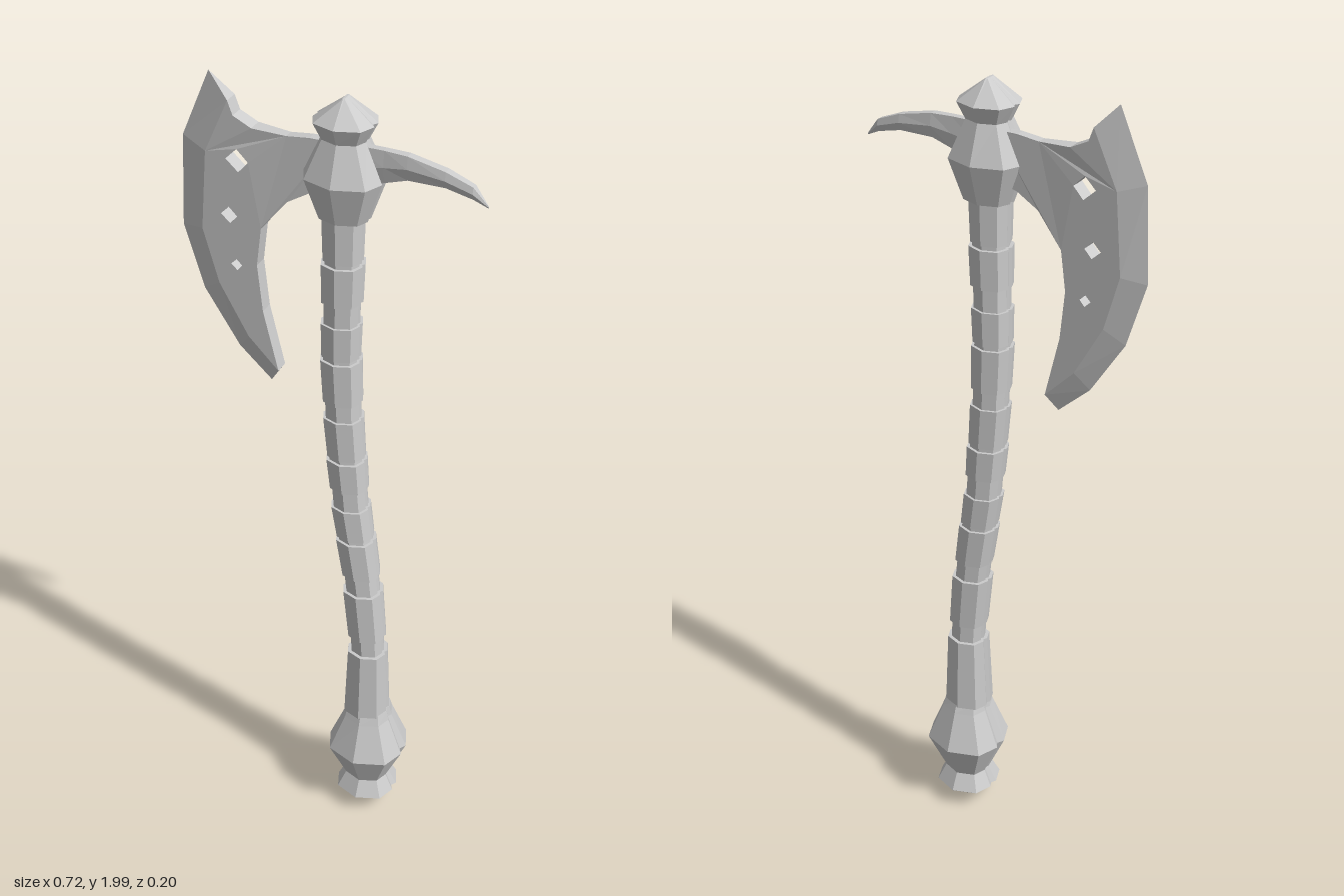
import * as THREE from 'three';

const material = new THREE.MeshStandardMaterial({ color: 0xcccccc, flatShading: true });

// Skin a list of equal-length point rings and close both ends.
function loft(name, rings) {
  const n = rings[0].length, index = [];
  for (let r = 0; r < rings.length - 1; r++) {
    for (let j = 0; j < n; j++) {
      const a = r * n + j, b = r * n + (j + 1) % n;
      index.push(a, a + n, b, b, a + n, b + n);
    }
  }
  const last = (rings.length - 1) * n;
  for (let j = 1; j < n - 1; j++) {
    index.push(0, j, j + 1, last, last + j + 1, last + j);
  }
  const indexed = new THREE.BufferGeometry();
  indexed.setAttribute('position', new THREE.Float32BufferAttribute(rings.flat(2), 3));
  indexed.setIndex(index);
  const geometry = indexed.toNonIndexed();
  geometry.computeVertexNormals();
  const mesh = new THREE.Mesh(geometry, material);
  mesh.name = name;
  return mesh;
}

// Faceted cross-section with a shallow groove down each side.
const SECTION = [
  [0.9, 0], [1, 0.17], [0.78, 0.72], [0, 1], [-0.78, 0.72], [-1, 0.17],
  [-0.9, 0], [-1, -0.17], [-0.78, -0.72], [0, -1], [0.78, -0.72], [1, -0.17],
];
const ring = (x, y, rx, rz, z = 0) => SECTION.map(([sx, sz]) => [x + sx * rx, y, z + sz * rz]);

// Centre line of the curved shaft: [y, x].
const SPINE = [[0, 0.115], [0.33, 0.108], [0.55, 0.108], [0.75, 0.09], [0.97, 0.058],
  [1.2, 0.038], [1.4, 0.03], [1.6, 0.034], [2, 0.035]];
function spineX(y) {
  const k = Math.max(1, SPINE.findIndex(p => p[0] >= y));
  const [y0, x0] = SPINE[k - 1], [y1, x1] = SPINE[k];
  return THREE.MathUtils.lerp(x0, x1, (y - y0) / (y1 - y0));
}

function createShaft() {
  // Raised bands: [bottom, top, bottom radius, top radius]; the core shows between.
  const bands = [
    [0.33, 0.53, 0.058, 0.05], [0.58, 0.72, 0.047, 0.049],
    [0.77, 0.875, 0.046, 0.048], [0.885, 0.97, 0.045, 0.047],
    [1.025, 1.105, 0.046, 0.048], [1.115, 1.22, 0.045, 0.047],
    [1.265, 1.375, 0.046, 0.048], [1.385, 1.47, 0.045, 0.047],
    [1.525, 1.62, 0.047, 0.049], [1.63, 1.74, 0.045, 0.048],
  ];
  const rings = [];
  for (const [y0, y1, r0, r1] of bands) {
    for (const [y, r] of [[y0, 0.041], [y0, r0], [y1, r1], [y1, 0.041]]) {
      rings.push(ring(spineX(y), y, r, r));
    }
  }
  return loft('shaft', rings);
}

function createBlade() {
  const blade = new THREE.Group();
  blade.name = 'blade';
  const zMid = -0.01, half = 0.018;
  const edge = [[-0.283, 2], [-0.352, 1.84], [-0.362, 1.62], [-0.315, 1.466], [-0.23, 1.333], [-0.15, 1.26]];
  const bevel = [[-0.232, 1.947], [-0.29, 1.82], [-0.305, 1.63], [-0.268, 1.5], [-0.198, 1.375], [-0.124, 1.3]];
  // Plate from the bevel line back to the head
  const rear = [[-0.16, 1.45], [-0.172, 1.566], [-0.16, 1.66], [-0.098, 1.735], [-0.045, 1.767],
    [0.01, 1.78], [0.01, 1.895], [-0.045, 1.895], [-0.098, 1.889], [-0.177, 1.894], [-0.22, 1.915]];
  const shape = new THREE.Shape([...bevel, ...rear].map(p => new THREE.Vector2(...p)));
  // Diamond-shaped cutouts
  for (const [x, y, r] of [[-0.214, 1.812, 0.027], [-0.237, 1.677, 0.02], [-0.222, 1.556, 0.014]]) {
    const corners = [[-r, 0], [0, r], [r, 0], [0.1 * r, -r]];
    shape.holes.push(new THREE.Path(corners.map(([dx, dy]) => new THREE.Vector2(x + dx, y + dy))));
  }
  const geometry = new THREE.ExtrudeGeometry(shape, { depth: 2 * half, bevelEnabled: false });
  geometry.translate(0, 0, -half);
  // Thin the plate toward the head
  const pos = geometry.attributes.position;
  for (let i = 0; i < pos.count; i++) {
    const thin = pos.getX(i) > -0.12 ? 0.65 : 1;
    pos.setZ(i, zMid + pos.getZ(i) * thin);
  }
  geometry.computeVertexNormals();
  const plate = new THREE.Mesh(geometry, material);
  plate.name = 'bladePlate';
  const cuttingEdge = loft('cuttingEdge', edge.map(([x, y], i) => [
    [x, y, zMid], [...bevel[i], zMid + half], [...bevel[i], zMid - half],
  ]));
  blade.add(plate, cuttingEdge);
  return blade;
}

function createSpike() {
  // Stations: [x, bottom, top, half thickness]
  const stations = [[0.06, 1.8, 1.9, 0.012], [0.125, 1.825, 1.9, 0.012], [0.178, 1.842, 1.898, 0.014],
    [0.262, 1.842, 1.88, 0.014], [0.322, 1.828, 1.857, 0.011], [0.355, 1.813, 1.817, 0.001]];
  return loft('backSpike', stations.map(([x, y0, y1, h]) => {
    const z = -0.006;
    return [[x, y0, z + h * 0.4], [x, (y0 + y1) / 2, z + h], [x, y1, z + h * 0.7],
      [x, y1, z - h * 0.7], [x, (y0 + y1) / 2, z - h], [x, y0, z - h * 0.4]];
  }));
}

export function createModel() {
  const axe = new THREE.Group();
  axe.name = 'axe';
  // Profiles: [y, x radius, z radius]
  const pommel = [[0.01, 0.003, 0.015], [0.065, 0.077, 0.08], [0.11, 0.056, 0.058],
    [0.21, 0.1, 0.1], [0.312, 0.06, 0.064], [0.34, 0.054, 0.054]];
  const head = [[1.73, 0.057, 0.052], [1.825, 0.09, 0.08], [1.912, 0.05, 0.048],
    [1.95, 0.069, 0.064], [2, 0.003, 0.015]];
  axe.add(
    createShaft(),
    loft('pommel', pommel.map(([y, rx, rz]) => ring(0.113, y, rx, rz))),
    loft('head', head.map(([y, rx, rz]) => ring(0.035, y, rx, rz, -0.004))),
    createBlade(),
    createSpike(),
  );
  return axe;
}
